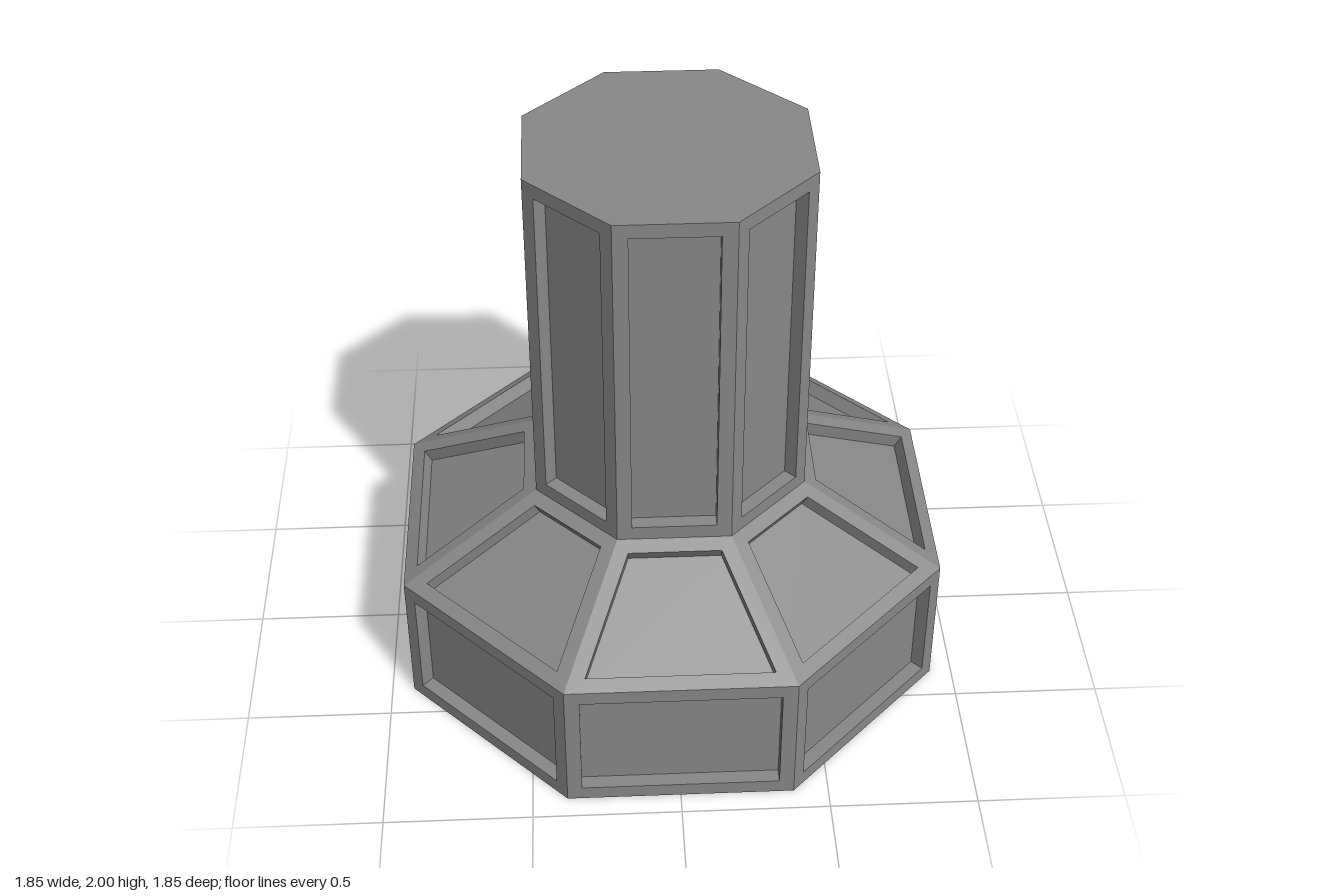
import * as THREE from 'three';

const SIDES = 8;
const MARGIN = 0.05; // frame width around each panel
const DEPTH = 0.05;  // how far each panel is sunk
const HALF = Math.PI / SIDES;

// One framed, sunken panel facing +z, spanning (r0, y0) to (r1, y1) (corner radii)
function panelGeometry(r0, y0, r1, y1) {
  const w0 = r0 * Math.sin(HALF), w1 = r1 * Math.sin(HALF);
  const z0 = r0 * Math.cos(HALF), z1 = r1 * Math.cos(HALF);
  const length = Math.hypot(y1 - y0, z1 - z0);
  const side = MARGIN * Math.hypot(1, (w1 - w0) / length);
  const inward = new THREE.Vector3(0, z1 - z0, y0 - y1).multiplyScalar(DEPTH / length);

  // Points across the face at fraction t of its height, narrowed by inset
  const at = (s, t, inset) => new THREE.Vector3(
    s * (THREE.MathUtils.lerp(w0, w1, t) - inset),
    THREE.MathUtils.lerp(y0, y1, t),
    THREE.MathUtils.lerp(z0, z1, t));
  const loop = (t, inset) => [at(-1, t, inset), at(1, t, inset), at(1, 1 - t, inset), at(-1, 1 - t, inset)];

  const outer = loop(0, 0);
  const inner = loop(MARGIN / length, side);
  const floor = inner.map(p => p.clone().add(inward));

  const points = [];
  const quad = (a, b, c, d) => points.push(a, b, c, a, c, d);
  for (let i = 0; i < 4; i++) {
    const j = (i + 1) % 4;
    quad(outer[i], outer[j], inner[j], inner[i]); // frame
    quad(inner[i], inner[j], floor[j], floor[i]); // recess wall
  }
  quad(...floor);
  const geometry = new THREE.BufferGeometry().setFromPoints(points);
  geometry.computeVertexNormals();
  return geometry;
}

export function createModel() {
  const model = new THREE.Group();
  const material = new THREE.MeshStandardMaterial({ color: 0x888888, flatShading: true });

  // Rings of panels: base, sloped shoulder and column
  const sections = [
    ['base', 1, 0, 1, 0.5],
    ['shoulder', 1, 0.5, 0.5, 0.75],
    ['column', 0.5, 0.75, 0.5, 2],
  ];
  for (const [name, ...profile] of sections) {
    const section = new THREE.Group();
    section.name = name;
    const geometry = panelGeometry(...profile);
    for (let i = 0; i < SIDES; i++) {
      const panel = new THREE.Mesh(geometry, material);
      panel.name = name + 'Panel';
      panel.rotation.y = i * 2 * HALF;
      section.add(panel);
    }
    model.add(section);
  }

  // Flat octagonal ends
  for (const [name, radius, y, tilt] of [['topCap', 0.5, 2, -1], ['bottomCap', 1, 0, 1]]) {
    const cap = new THREE.Mesh(new THREE.CircleGeometry(radius, SIDES, HALF), material);
    cap.name = name;
    cap.position.y = y;
    cap.rotation.x = tilt * Math.PI / 2;
    model.add(cap);
  }
  return model;
}
